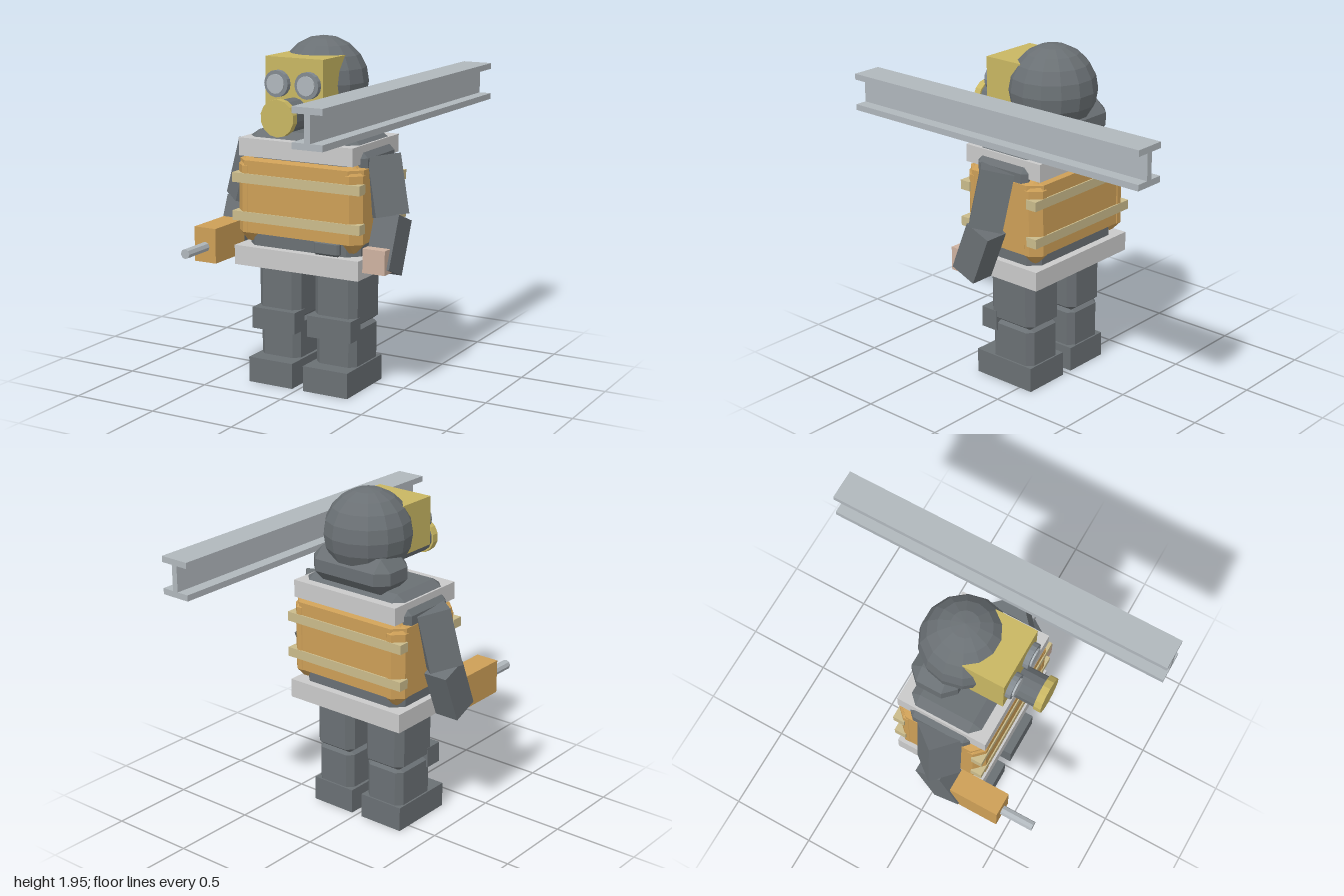
import * as THREE from 'three';
import { ConvexGeometry } from 'three/addons/geometries/ConvexGeometry.js';

const material = (name, color) => {
  const m = new THREE.MeshStandardMaterial({ color, flatShading: true });
  m.name = name;
  return m;
};

// Box given by its min/max on each axis
function span([x0, x1], [y0, y1], [z0, z1]) {
  return new THREE.BoxGeometry(x1 - x0, y1 - y0, z1 - z0)
    .translate((x0 + x1) / 2, (y0 + y1) / 2, (z0 + z1) / 2);
}

// Box with chamfered edges: c sideways, cy along the height
function chamfered([x0, x1], [y0, y1], [z0, z1], c, cy = c) {
  const h = [(x1 - x0) / 2, (y1 - y0) / 2, (z1 - z0) / 2];
  const cut = [c, cy, c];
  const points = [];
  for (const sx of [-1, 1]) for (const sy of [-1, 1]) for (const sz of [-1, 1]) {
    for (let full = 0; full < 3; full++) {
      const p = h.map((v, i) => (i === full ? v : v - cut[i]));
      points.push(new THREE.Vector3(p[0] * sx, p[1] * sy, p[2] * sz));
    }
  }
  return new ConvexGeometry(points).translate((x0 + x1) / 2, (y0 + y1) / 2, (z0 + z1) / 2);
}

// Cylinder running along z from z0 to z1
function rod(r, x, y, z0, z1, sides = 12) {
  return new THREE.CylinderGeometry(r, r, z1 - z0, sides).rotateX(Math.PI / 2)
    .translate(x, y, (z0 + z1) / 2);
}

// Square bar between two points, turned about its own axis
function limb(a, b, w, d, turn) {
  const from = new THREE.Vector3(...a), to = new THREE.Vector3(...b);
  const dir = from.clone().sub(to);
  const q = new THREE.Quaternion().setFromUnitVectors(new THREE.Vector3(0, 1, 0), dir.clone().normalize());
  const mid = from.add(to).multiplyScalar(0.5);
  return new THREE.BoxGeometry(w, dir.length(), d).rotateY(turn)
    .applyQuaternion(q).translate(mid.x, mid.y, mid.z);
}

export function createModel() {
  const suit = material('suit grey', 0x6a7074);
  const plate = material('plate light grey', 0xcacaca);
  const steel = material('beam steel', 0xb0b7bc);
  const ring = material('goggle rim grey', 0x838a90);
  const orange = material('orange', 0xcd9f57);
  const tan = material('strap tan', 0xcabb8b);
  const yellow = material('mask yellow', 0xc8b662);
  const skin = material('hand skin', 0xceb2a0);

  const model = new THREE.Group();
  model.name = 'worker';
  const add = (name, geometry, mat) => {
    const mesh = new THREE.Mesh(geometry, mat);
    mesh.name = name;
    model.add(mesh);
  };

  // Torso
  add('torso', chamfered([-0.35, 0.35], [0.74, 1.435], [-0.15, 0.29], 0.06, 0.04), suit);
  add('shoulderBar', chamfered([-0.385, 0.385], [1.22, 1.36], [-0.115, 0.25], 0.03), suit);
  add('shoulderPlate', span([-0.355, 0.355], [1.3, 1.4], [-0.195, 0.34]), plate);
  add('hipPlate', span([-0.39, 0.39], [0.68, 0.79], [-0.195, 0.34]), plate);
  add('beltPouch', chamfered([0.1, 0.26], [0.79, 0.87], [0.26, 0.32], 0.012), suit);

  // Vest with tapered corner posts and straps
  add('vest', chamfered([-0.388, 0.388], [0.855, 1.29], [-0.195, 0.338], 0.065, 0.015), orange);
  for (const s of [-1, 1]) {
    for (const z of [0.27, -0.13]) {
      add('vestCorner', chamfered([s * 0.32 - 0.07, s * 0.32 + 0.07], [0.815, 1.3], [z - 0.07, z + 0.07], 0.055), orange);
    }
  }
  for (const y of [0.96, 1.175]) {
    add('frontStrap', span([-0.4, 0.4], [y - 0.027, y + 0.027], [0.28, 0.345]), tan);
    add('backStrap', span([-0.4, 0.4], [y - 0.027, y + 0.027], [-0.203, -0.135]), tan);
  }

  // Legs and arms, mirrored
  for (const s of [-1, 1]) {
    const side = (a, b) => (s > 0 ? [a, b] : [-b, -a]);
    add('foot', span(side(0.035, 0.315), [0, 0.145], [-0.085, 0.32]), suit);
    add('shin', chamfered(side(0.052, 0.305), [0.12, 0.37], [-0.075, 0.225], 0.035, 0.02), suit);
    add('thigh', chamfered(side(0.045, 0.312), [0.36, 0.71], [-0.085, 0.235], 0.04, 0.03), suit);
    add('kneePad', span(side(0.04, 0.315), [0.305, 0.427], [0.17, 0.28]), suit);
    add('upperArm', limb([s * 0.385, 1.325, 0.08], [s * 0.455, 1.005, 0.11], 0.185, 0.185, s * Math.PI / 4.4), suit);
    add('forearm', limb([s * 0.472, 1.0, 0.09], [s * 0.472, 0.717, 0.205], 0.147, 0.165, 0), suit);
  }

  // Left hand, and the drill held on the right
  add('leftHand', span([0.395, 0.53], [0.72, 0.855], [0.18, 0.3]), skin);
  add('drillBody', span([-0.535, -0.398], [0.72, 0.915], [0.225, 0.52]), orange);
  add('drillBit', rod(0.028, -0.466, 0.808, 0.5, 0.715, 8), steel);

  // Head and collar
  add('head', new THREE.SphereGeometry(0.248, 14, 10).translate(0, 1.702, 0.02), suit);
  add('collar', chamfered([-0.268, 0.268], [1.42, 1.62], [-0.19, 0.09], 0.065), suit);

  // Gas mask
  add('maskPlate', span([-0.178, 0.178], [1.578, 1.858], [0.1, 0.343]), yellow);
  for (const s of [-1, 1]) {
    add('goggleRim', rod(0.073, s * 0.094, 1.717, 0.33, 0.374, 16), ring);
    add('goggleLens', rod(0.053, s * 0.094, 1.717, 0.36, 0.384, 16), steel);
  }
  add('filterTube', rod(0.09, 0, 1.557, 0.2, 0.485, 14), suit);
  add('filterCap', rod(0.101, 0, 1.557, 0.48, 0.522, 14), yellow);

  // Steel I-beam above the left shoulder
  add('beamTop', span([0.375, 0.55], [1.682, 1.716], [-1, 1]), steel);
  add('beamWeb', span([0.446, 0.48], [1.538, 1.682], [-1, 1]), steel);
  add('beamBottom', span([0.375, 0.55], [1.504, 1.538], [-1, 1]), steel);

  return model;
}
